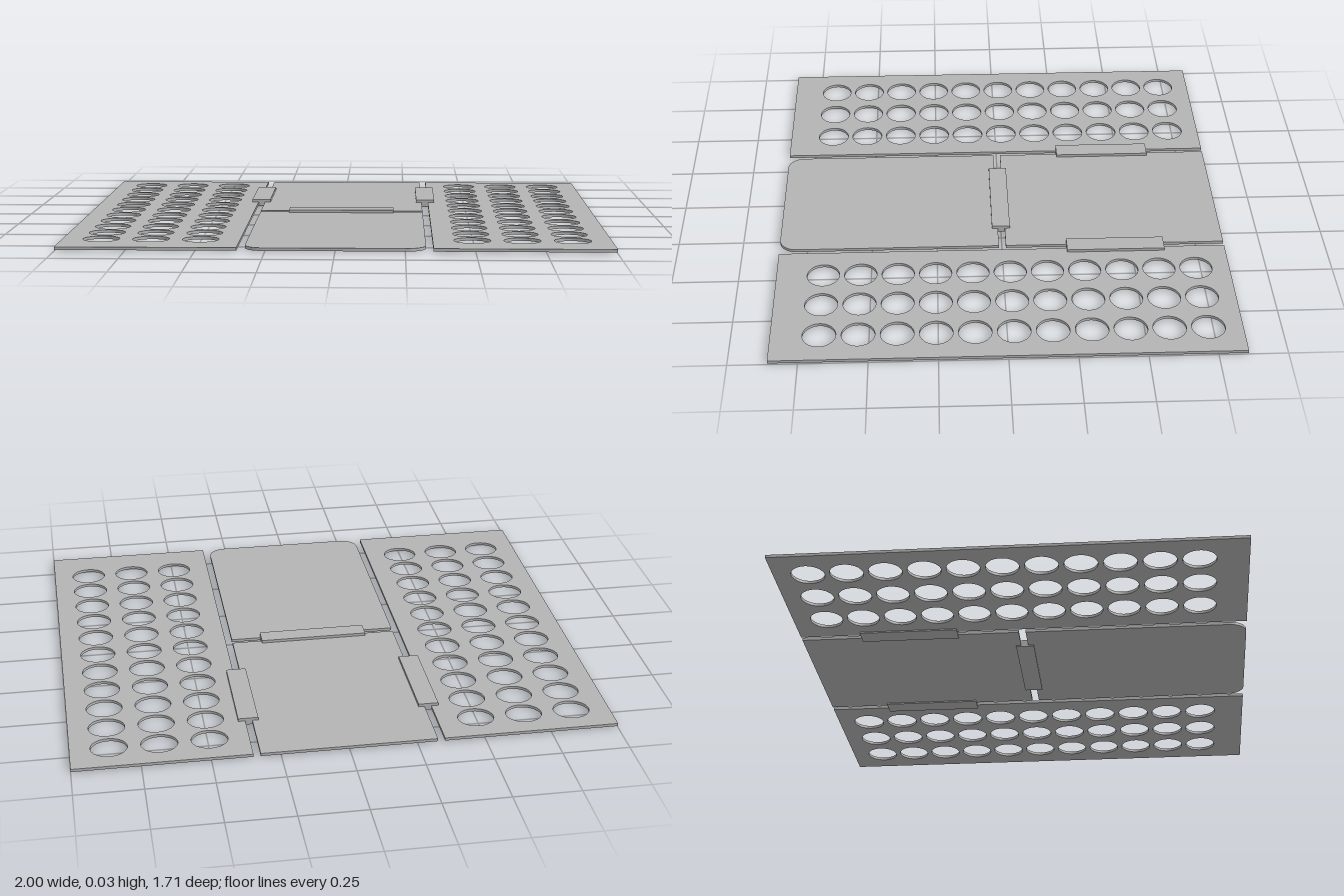
import * as THREE from 'three';

const BASE = 0.005, TOP = 0.016, HINGE_H = 0.027, HALF_Z = 0.857;

export function createModel() {
  const group = new THREE.Group();
  const grey = new THREE.MeshStandardMaterial({ color: 0xb3b3b3 });
  grey.name = 'grey plastic';

  function add(geometry, name) {
    const mesh = new THREE.Mesh(geometry, grey);
    mesh.name = name;
    group.add(mesh);
  }

  // Shape drawn in (x, z), laid flat as a thin board
  function addBoard(shape, name) {
    const geo = new THREE.ExtrudeGeometry(shape, { depth: TOP - BASE, bevelEnabled: false, curveSegments: 32 });
    geo.rotateX(Math.PI / 2).translate(0, TOP, 0);
    add(geo, name);
  }

  // Rectangle outline, optionally with rounded front corners
  function outline(x0, x1, z0, z1, r = 0) {
    const s = new THREE.Shape();
    s.moveTo(x0, z0);
    s.lineTo(x1, z0);
    s.lineTo(x1, z1 - r);
    if (r) s.absarc(x1 - r, z1 - r, r, 0, Math.PI / 2, false);
    else s.lineTo(x1, z1);
    s.lineTo(x0 + r, z1);
    if (r) s.absarc(x0 + r, z1 - r, r, Math.PI / 2, Math.PI, false);
    s.lineTo(x0, z0);
    return s;
  }

  // Hinge cover block straddling a gap between boards
  function addHinge(x, z, w, d, name) {
    add(new THREE.BoxGeometry(w, HINGE_H, d).translate(x, HINGE_H / 2, z), name);
  }

  for (const [side, label] of [[1, 'left'], [-1, 'right']]) {
    // Side flap with a grid of oval openings
    const [x0, x1] = side > 0 ? [0.35, 1] : [-1, -0.35];
    const flap = outline(x0, x1, -HALF_Z, HALF_Z);
    for (let col = 0; col < 3; col++) {
      for (let row = 0; row < 11; row++) {
        const hole = new THREE.Path();
        hole.absellipse(side * (0.494 + col * 0.182), -0.73 + row * 0.141, 0.067, 0.061, 0, Math.PI * 2, true);
        flap.holes.push(hole);
      }
    }
    addBoard(flap, `${label}Flap`);
    addHinge(side * 0.339, -0.436, 0.075, 0.374, `${label}Hinge`);
  }

  // Central boards: fixed back, folding front with rounded corners
  addBoard(outline(-0.324, 0.324, -HALF_Z, -0.015), 'backCentreBoard');
  addBoard(outline(-0.324, 0.324, 0.012, HALF_Z, 0.065), 'frontCentreBoard');
  addHinge(0, 0, 0.416, 0.07, 'centreHinge');

  return group;
}
